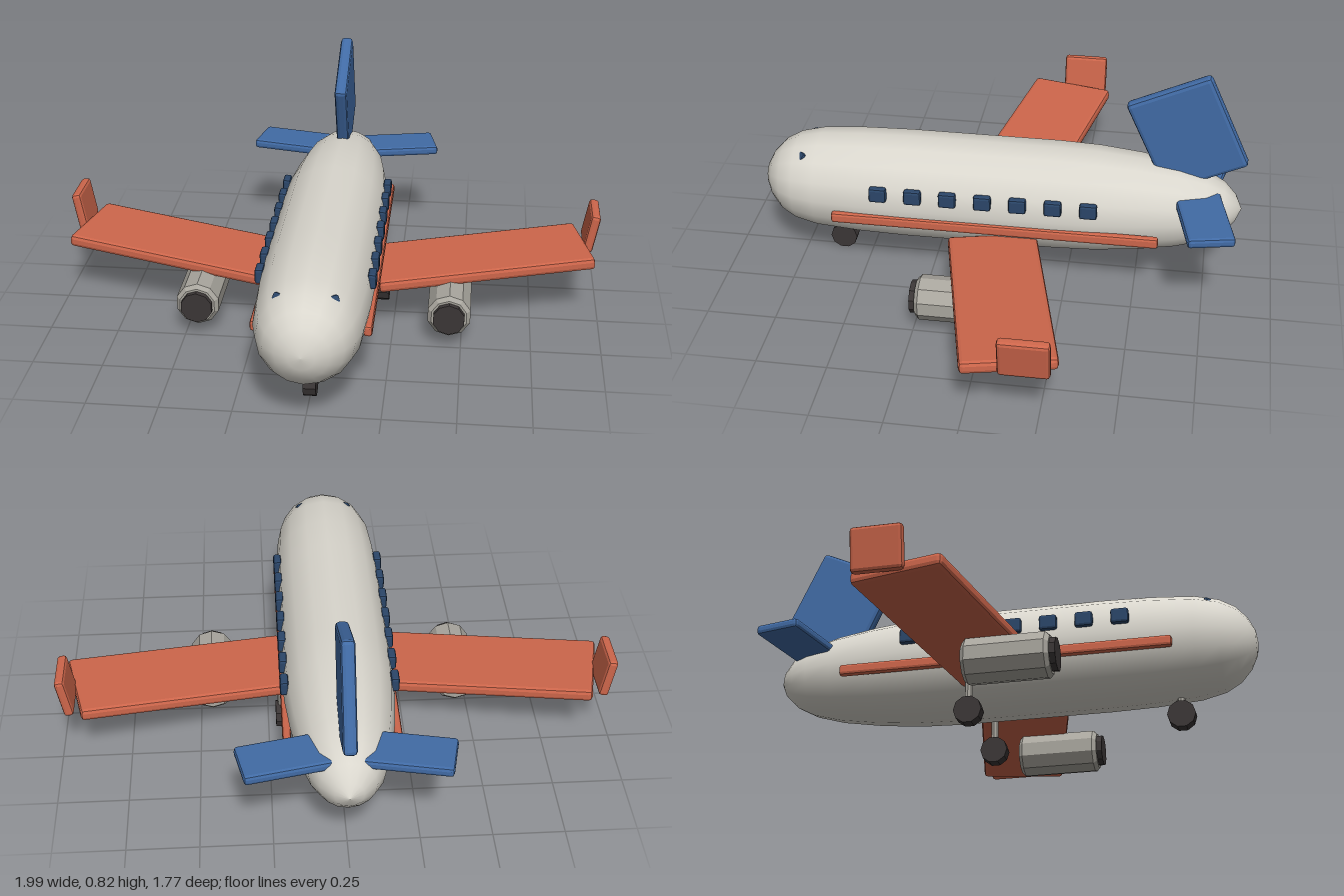
import * as THREE from 'three';
import { RoundedBoxGeometry } from 'three/addons/geometries/RoundedBoxGeometry.js';

const mat = (name, color, flatShading = false) =>
  new THREE.MeshStandardMaterial({ name, color, flatShading });

export function createModel() {
  const plane = new THREE.Group();
  plane.name = 'airliner';
  const white = mat('fuselageWhite', 0xd9d6cd);
  const red = mat('wingRed', 0xcd664b, true);
  const blue = mat('tailBlue', 0x416ba5, true);
  const glass = mat('windowNavy', 0x2b4669, true);
  const grey = mat('engineGrey', 0xa9a69e, true);
  const dark = mat('rubberDark', 0x3b3636, true);

  function add(name, geometry, material, pos, rot = [0, 0, 0]) {
    const mesh = new THREE.Mesh(geometry, material);
    mesh.name = name;
    mesh.position.set(...pos);
    mesh.rotation.set(...rot);
    plane.add(mesh);
    return mesh;
  }
  const box = (w, h, d, bevel) => new RoundedBoxGeometry(w, h, d, 1, bevel);
  // Lathe profile of [radius, z] pairs, turned to lie along z
  const latheZ = (profile, sides) =>
    new THREE.LatheGeometry(profile.map(([r, z]) => new THREE.Vector2(r, z)), sides).rotateX(Math.PI / 2);

  // Fuselage, tail to nose
  add('fuselage', latheZ([
    [0, -0.87], [0.05, -0.848], [0.095, -0.805], [0.13, -0.74], [0.158, -0.64], [0.18, -0.5],
    [0.195, -0.35], [0.2, -0.2], [0.2, 0.35], [0.196, 0.52], [0.185, 0.68], [0.165, 0.765],
    [0.135, 0.82], [0.092, 0.86], [0.045, 0.884], [0, 0.89],
  ], 16), white, [0, 0.3, 0]);

  // Fin
  add('fin', box(0.048, 0.377, 0.32, 0.015), blue, [0, 0.595, -0.66], [0.43, 0, 0]);

  // Engine casing with bevelled ends
  const engineShape = latheZ([
    [0, -0.148], [0.066, -0.148], [0.08, -0.134], [0.08, 0.134], [0.066, 0.148], [0, 0.148],
  ], 10);
  const intakeShape = new THREE.CylinderGeometry(0.058, 0.058, 0.04, 10).rotateX(Math.PI / 2);
  const wheelShape = new THREE.CylinderGeometry(0.05, 0.05, 0.044, 10).rotateZ(Math.PI / 2);
  const strutShape = new THREE.CylinderGeometry(0.014, 0.014, 0.15, 8);

  for (const [s, side] of [[1, 'left'], [-1, 'right']]) {
    // Wings and tailplane
    add(side + 'Wing', box(0.8, 0.045, 0.323, 0.014), red, [s * 0.555, 0.212, -0.07], [0, s * 0.22, s * 0.06]);
    add(side + 'Winglet', box(0.036, 0.15, 0.172, 0.012), red, [s * 0.967, 0.295, -0.207], [0, 0, -s * 0.18]);
    add(side + 'Tailplane', box(0.32, 0.036, 0.167, 0.012), blue, [s * 0.2, 0.373, -0.737], [0, s * 0.21, 0]);

    // Stripe, cabin windows and windscreen
    add(side + 'Stripe', box(0.03, 0.04, 1.19, 0.01), red, [s * 0.192, 0.25, 0.012]);
    for (let i = 0; i < 7; i++) {
      add(side + 'Window' + (i + 1), box(0.03, 0.056, 0.063, 0.009), glass, [s * 0.194, 0.36, 0.43 - i * 0.1268]);
    }
    const screen = add(side + 'Windscreen', box(0.058, 0.054, 0.03, 0.008), glass, [s * 0.084, 0.42, 0.74]);
    screen.rotation.set(-0.6, s * 0.6, 0, 'YXZ');

    // Engine
    add(side + 'Engine', engineShape, grey, [s * 0.455, 0.118, 0.092]);
    add(side + 'Intake', intakeShape, dark, [s * 0.455, 0.118, 0.24]);

    // Main landing gear
    add(side + 'MainStrut', strutShape, grey, [s * 0.2, 0.125, -0.105]);
    add(side + 'MainWheel', wheelShape, dark, [s * 0.2, 0.05, -0.105]);
  }

  // Nose landing gear
  add('noseStrut', strutShape, grey, [0, 0.125, 0.61]);
  add('noseWheel', wheelShape, dark, [0, 0.05, 0.61]);

  return plane;
}
